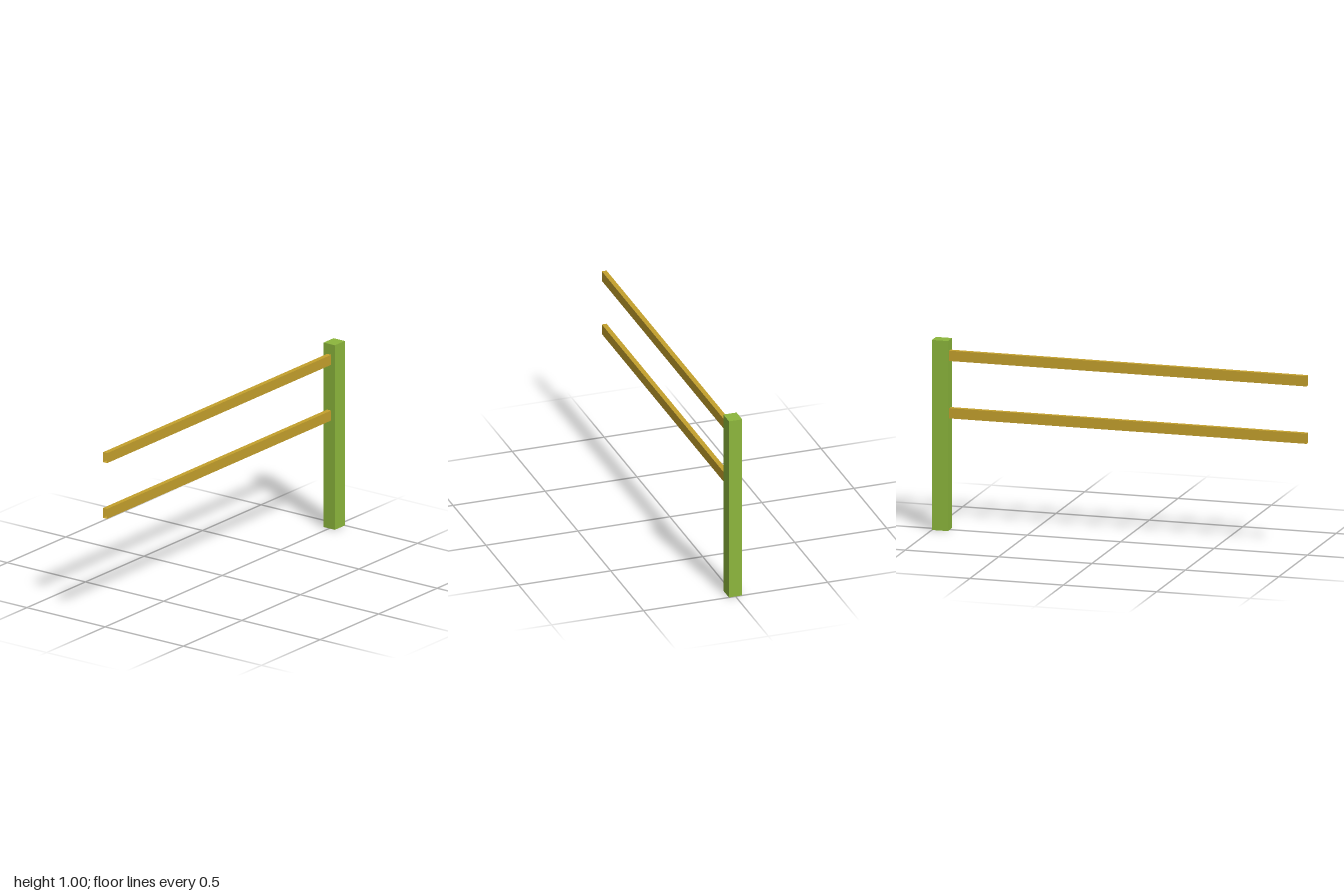
import * as THREE from 'three';

const postGreen = new THREE.MeshStandardMaterial({ color: 0x8cb63c, side: THREE.DoubleSide });
postGreen.name = 'post green';
const railOchre = new THREE.MeshStandardMaterial({ color: 0xc4a02c, side: THREE.DoubleSide });
railOchre.name = 'rail ochre';

// Box sides in index order, six indices each
const SIDES = ['+x', '-x', '+y', '-y', '+z', '-z'];

// Hollow box between two corners, with the listed sides left open
function openBox(name, min, max, material, open) {
  const size = max.map((v, i) => v - min[i]);
  const geometry = new THREE.BoxGeometry(...size);
  const index = Array.from(geometry.index.array);
  geometry.setIndex(index.filter((_, i) => !open.includes(SIDES[Math.floor(i / 6)])));
  geometry.clearGroups();
  const mesh = new THREE.Mesh(geometry, material);
  mesh.name = name;
  mesh.position.set(...max.map((v, i) => (v + min[i]) / 2));
  return mesh;
}

export function createModel() {
  const group = new THREE.Group();
  group.name = 'fenceSection';

  // Upright post at the back end, open underneath
  const postFront = -0.914;
  group.add(openBox('post', [-0.036, 0, -1], [0.036, 1, postFront], postGreen, ['-y']));

  // Two rails running forward from the post, open at both ends
  for (const [name, bottom] of [['lowerRail', 0.588], ['upperRail', 0.89]]) {
    group.add(openBox(name, [-0.013, bottom, postFront], [0.013, bottom + 0.054, 1],
      railOchre, ['+z', '-z']));
  }
  return group;
}
